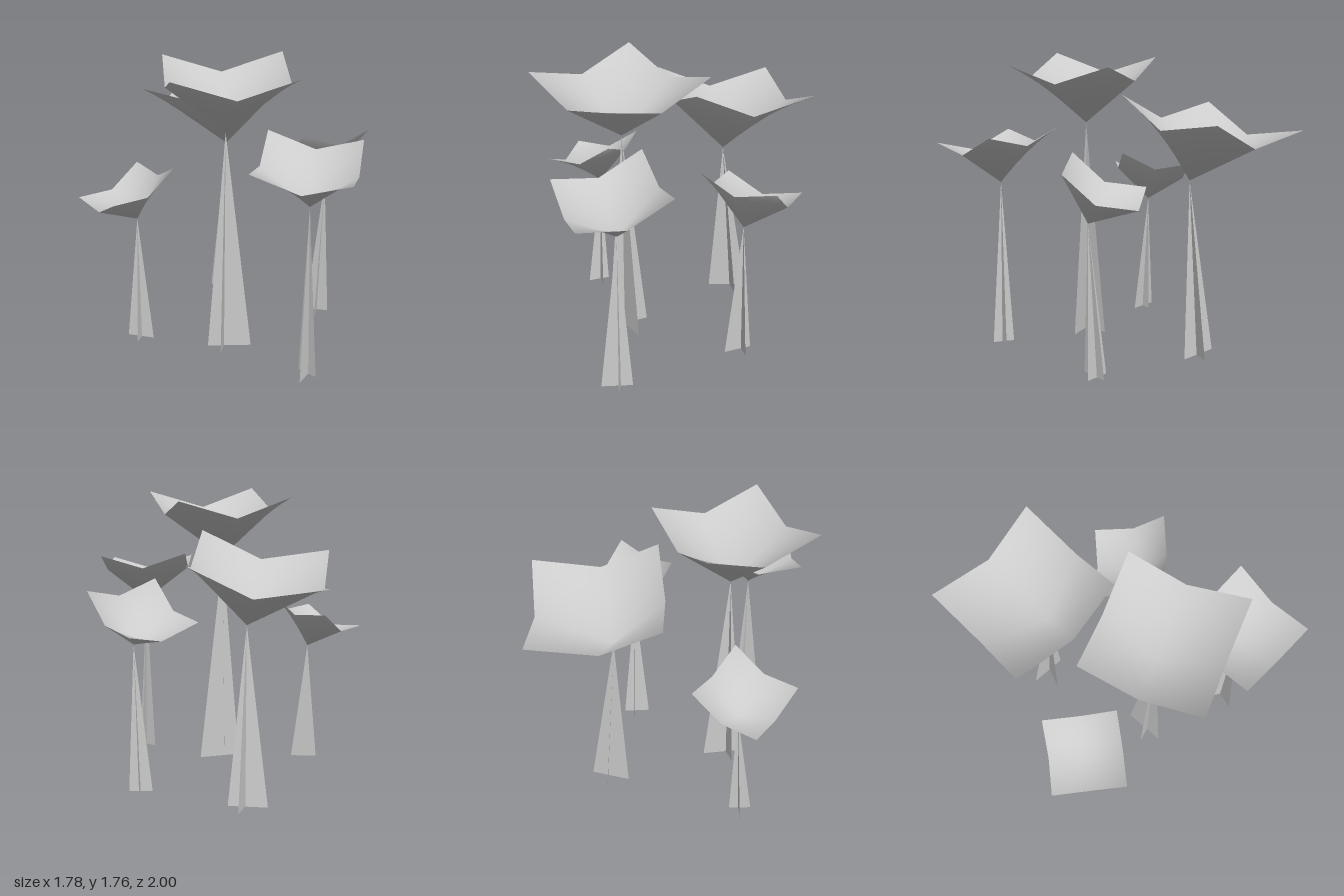
import * as THREE from 'three';

// Each plant: stem tip, three rim corners of its square canopy (front left, front right,
// back left) and the four stem fin ends on the ground as [x, z] (two crossing pairs).
const PLANTS = [
  { name: 'tallFront', apex: [-0.01, 1.37, 0.32],
    rim: [[-0.31, 1.76, 0.73], [0.40, 1.76, 0.66], [-0.37, 1.76, 0.02]],
    fins: [[[-0.12, 0.33], [0.145, 0.33]], [[-0.045, 0.435], [0.015, 0.18]]] },
  { name: 'tallBack', apex: [0.02, 1.085, -0.415],
    rim: [[-0.51, 1.48, -0.29], [0.20, 1.59, -0.06], [-0.27, 1.39, -1.0]],
    fins: [[[-0.08, -0.54], [0.145, -0.46]], [[-0.04, -0.38], [0.11, -0.58]]] },
  { name: 'frontLeft', apex: [0.44, 1.04, 0.655],
    rim: [[0.09, 1.30, 0.85], [0.61, 1.28, 1.0], [0.23, 1.39, 0.34]],
    fins: [[[0.41, 0.62], [0.50, 0.714]], [[0.40, 0.773], [0.50, 0.612]]] },
  { name: 'right', apex: [-0.54, 0.785, 0.16],
    rim: [[-0.65, 0.99, 0.48], [-0.31, 1.13, 0.23], [-0.89, 0.91, 0.11]],
    fins: [[[-0.62, 0.17], [-0.46, 0.22]], [[-0.56, 0.27], [-0.515, 0.14]]] },
  { name: 'backLeft', apex: [0.63, 0.925, -0.085],
    rim: [[0.27, 1.08, -0.26], [0.46, 1.28, 0.12], [0.70, 1.06, -0.46]],
    fins: [[[0.545, -0.145], [0.685, -0.105]], [[0.585, -0.02], [0.635, -0.185]]] },
];

const material = new THREE.MeshStandardMaterial({ color: 0xcccccc, side: THREE.DoubleSide });

// Square sheet pulled down to its apex, each quadrant a straight-ruled patch
function canopyGeometry(apex, rim) {
  const [o, p, q] = rim.map((r) => new THREE.Vector3(...r));
  const centre = p.clone().add(q).multiplyScalar(0.5);
  const U = p.clone().sub(o).multiplyScalar(0.5);
  const V = q.clone().sub(o).multiplyScalar(0.5);
  const drop = new THREE.Vector3(...apex).sub(centre);
  const axis = U.clone().cross(V).normalize();
  const uDir = U.clone().normalize();
  const vDir = V.clone().normalize();

  const geo = new THREE.PlaneGeometry(2, 2, 8, 8);
  const pos = geo.attributes.position;
  const nor = geo.attributes.normal;
  const point = new THREE.Vector3();
  for (let i = 0; i < pos.count; i++) {
    const u = pos.getX(i), v = pos.getY(i);
    const au = Math.abs(u), av = Math.abs(v);
    // rise is 0 at the apex, 1/sqrt(2) at edge middles and 1 at the corners
    const rise = Math.SQRT1_2 * (au + av) - (Math.SQRT2 - 1) * au * av;
    point.copy(centre).addScaledVector(U, u).addScaledVector(V, v).addScaledVector(drop, 1 - rise);
    pos.setXYZ(i, point.x, point.y, point.z);
    // soft normals that lean inwards towards the rim
    point.copy(axis).addScaledVector(uDir, -0.6 * u).addScaledVector(vDir, -0.6 * v).normalize();
    nor.setXYZ(i, point.x, point.y, point.z);
  }
  return geo;
}

// Tall flat triangle standing on the ground
function finGeometry(apex, [a, b]) {
  const geo = new THREE.BufferGeometry();
  geo.setAttribute('position', new THREE.Float32BufferAttribute(
    [a[0], 0, a[1], b[0], 0, b[1], ...apex], 3));
  geo.computeVertexNormals();
  return geo;
}

export function createModel() {
  const model = new THREE.Group();
  model.name = 'canopyCluster';
  for (const { name, apex, rim, fins } of PLANTS) {
    const plant = new THREE.Group();
    plant.name = `${name}Plant`;

    const canopy = new THREE.Mesh(canopyGeometry(apex, rim), material);
    canopy.name = 'canopy';
    plant.add(canopy);

    // Stem of two crossing fins
    const stem = new THREE.Group();
    stem.name = 'stem';
    for (const ends of fins) {
      const fin = new THREE.Mesh(finGeometry(apex, ends), material);
      fin.name = 'stemFin';
      stem.add(fin);
    }
    plant.add(stem);
    model.add(plant);
  }
  return model;
}
